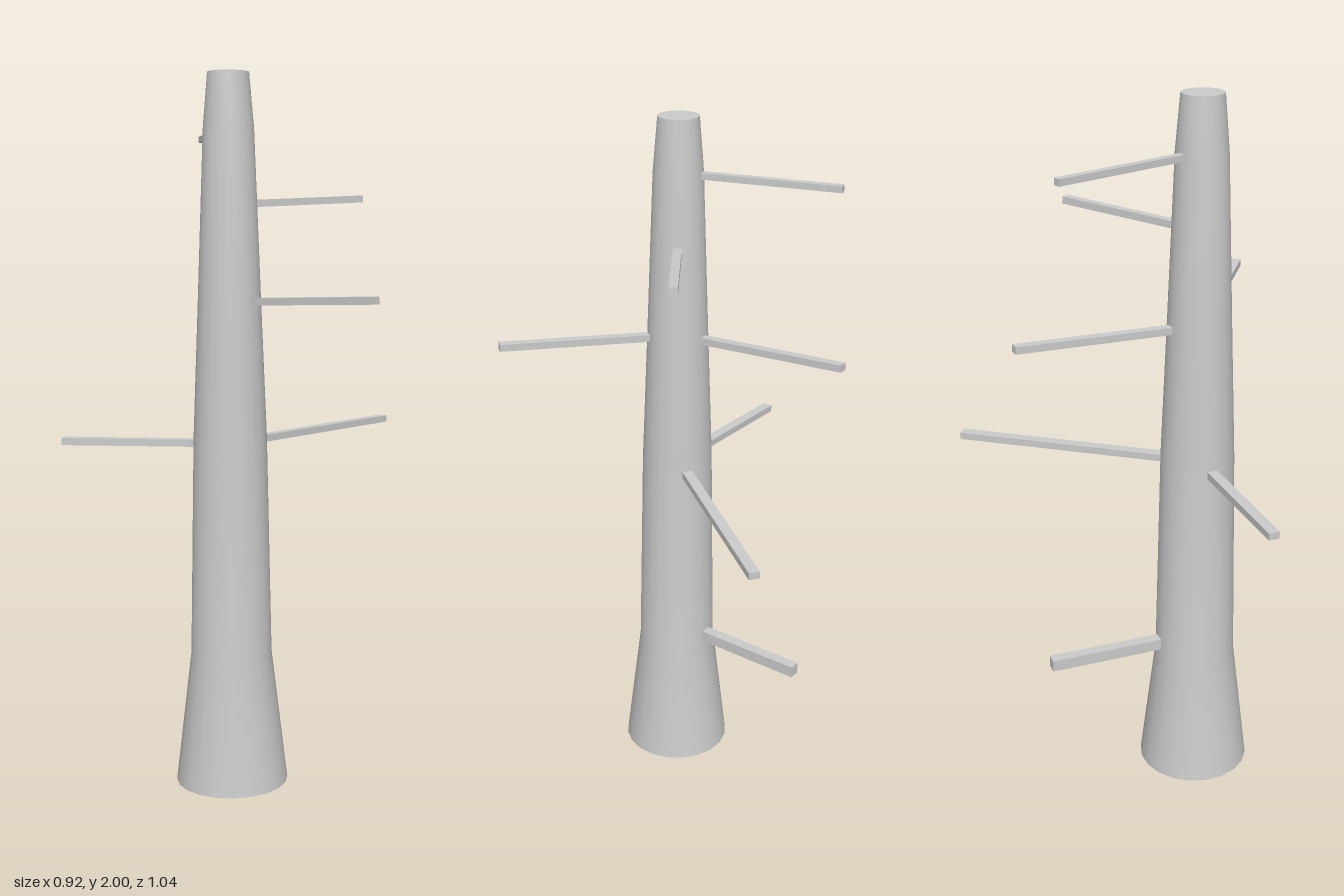
import * as THREE from 'three';
import { toCreasedNormals } from 'three/addons/utils/BufferGeometryUtils.js';

const AXIS_X = -0.05, AXIS_Z = 0.17;

export function createModel() {
  const group = new THREE.Group();
  const material = new THREE.MeshStandardMaterial({ color: 0xcccccc });

  // Tapered trunk with a flared foot and flat cut ends
  const profile = [[0, 0], [0.16, 0], [0.115, 0.38], [0.103, 1], [0.087, 1.4], [0.07, 1.85], [0.057, 2], [0, 2]]
    .map(([r, y]) => new THREE.Vector2(r, y));
  const trunk = new THREE.Mesh(toCreasedNormals(new THREE.LatheGeometry(profile, 20), 0.6), material);
  trunk.name = 'trunk';
  trunk.position.set(AXIS_X, 0, AXIS_Z);
  group.add(trunk);

  // Square-cut branches radiating from the trunk axis:
  // tip x, tip z, root y, tip y, root radius, width, height
  const branches = [
    [-0.455, -0.04, 1.845, 1.845, 0.065, 0.022, 0.018],
    [0.02, -0.257, 1.648, 1.664, 0.07, 0.024, 0.02],
    [0.457, 0.09, 1.382, 1.4, 0.08, 0.026, 0.02],
    [-0.447, -0.178, 1.382, 1.4, 0.08, 0.026, 0.02],
    [-0.388, 0.51, 0.983, 0.983, 0.09, 0.03, 0.02],
    [-0.155, -0.522, 0.983, 0.983, 0.09, 0.03, 0.02],
    [-0.362, -0.145, 0.411, 0.416, 0.1, 0.032, 0.034],
  ];
  branches.forEach(([x, z, rootY, tipY, radius, width, height], i) => {
    const tip = new THREE.Vector3(x, tipY, z);
    const root = new THREE.Vector3(x - AXIS_X, 0, z - AXIS_Z).setLength(radius);
    root.add(new THREE.Vector3(AXIS_X, rootY, AXIS_Z));
    const branch = new THREE.Mesh(new THREE.BoxGeometry(width, height, root.distanceTo(tip)), material);
    branch.name = `branch${i + 1}`;
    branch.position.lerpVectors(root, tip, 0.5);
    branch.lookAt(tip);
    group.add(branch);
  });

  return group;
}
